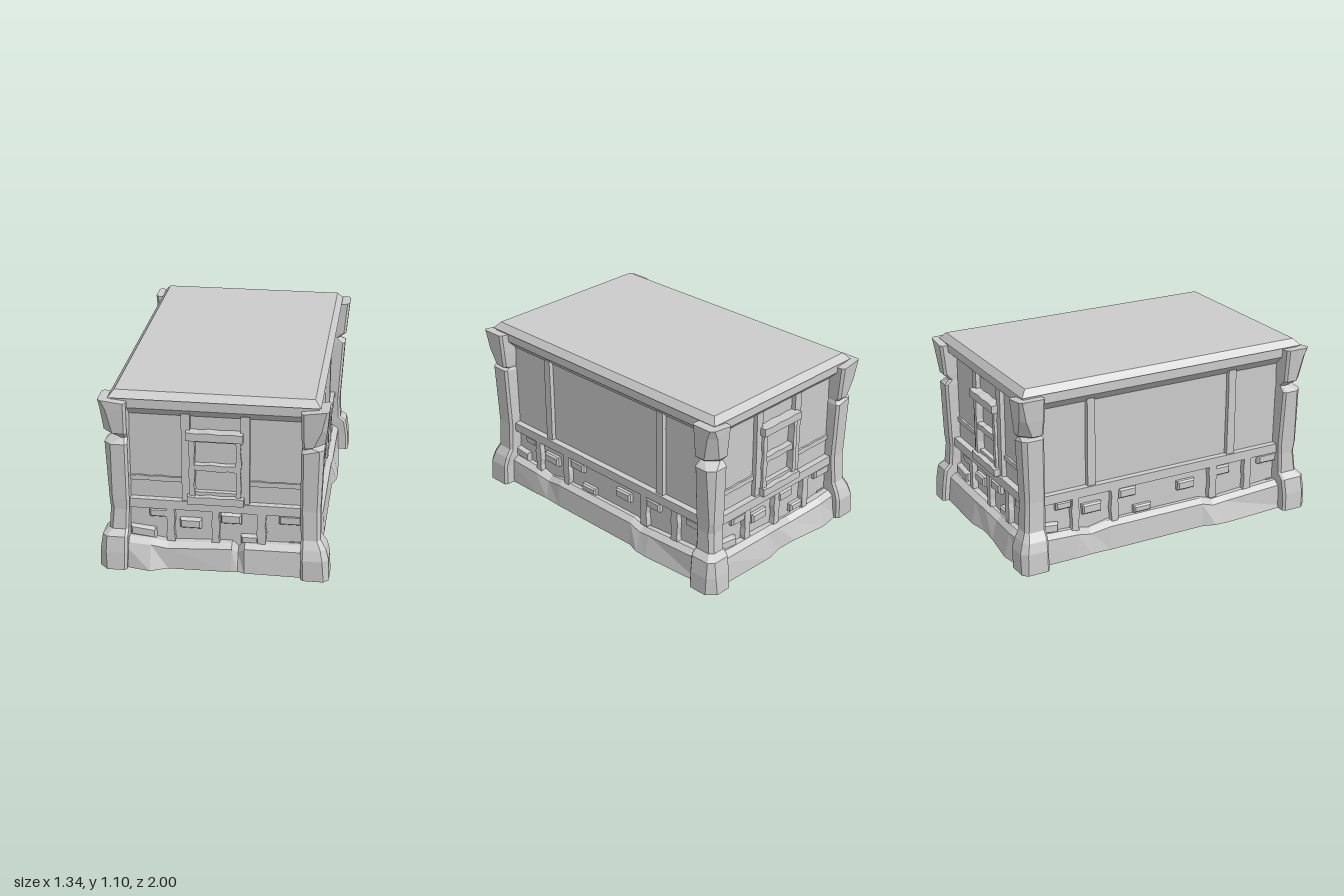
import * as THREE from 'three';

const material = new THREE.MeshStandardMaterial({ color: 0xcccccc, flatShading: true });

// Closed skin through rings of [x, y, z]; rings run counter-clockwise seen from the end of the stack
function loft(rings) {
  const p = [];
  const tri = (a, b, c) => p.push(...a, ...b, ...c);
  const n = rings[0].length;
  for (let k = 0; k < rings.length - 1; k++) {
    for (let i = 0; i < n; i++) {
      const j = (i + 1) % n, a = rings[k], b = rings[k + 1];
      tri(a[i], a[j], b[j]);
      tri(a[i], b[j], b[i]);
    }
  }
  const first = rings[0], last = rings[rings.length - 1];
  for (let i = 1; i < n - 1; i++) {
    tri(first[0], first[i + 1], first[i]);
    tri(last[0], last[i], last[i + 1]);
  }
  const g = new THREE.BufferGeometry();
  g.setAttribute('position', new THREE.Float32BufferAttribute(p, 3));
  g.computeVertexNormals();
  return g;
}

function add(parent, name, geometry, x = 0, y = 0, z = 0) {
  const mesh = new THREE.Mesh(geometry, material);
  mesh.name = name;
  mesh.position.set(x, y, z);
  parent.add(mesh);
  return mesh;
}

// Box given by its limits, standing out from the wall plane
function slab(parent, name, x0, x1, y0, y1, z0, z1) {
  return add(parent, name, new THREE.BoxGeometry(x1 - x0, y1 - y0, z1 - z0),
    (x0 + x1) / 2, (y0 + y1) / 2, (z0 + z1) / 2);
}

// Hand-hewn timber: a box whose edges wander a little along its length
function timber(parent, name, x0, x1, y0, y1, z0, z1, wobble = 0.004) {
  const w = x1 - x0, h = y1 - y0, upright = h > w;
  const g = new THREE.BoxGeometry(w, h, z1 - z0, upright ? 1 : 5, upright ? 5 : 1, 1);
  const p = g.attributes.position;
  for (let i = 0; i < p.count; i++) {
    const x = p.getX(i), y = p.getY(i);
    if (upright) p.setX(i, x + wobble * Math.sin(y * 47 + Math.sign(x) * 2 + x0 * 31));
    else p.setY(i, y + wobble * Math.sin(x * 47 + Math.sign(y) * 2 + y0 * 31));
  }
  g.computeVertexNormals();
  return add(parent, name, g, (x0 + x1) / 2, (y0 + y1) / 2, (z0 + z1) / 2);
}

// Bevelled stone set in the lower wall
function brick(parent, x, y, w, h, tilt, wall) {
  const ring = (inset, z) => [[-1, -1], [1, -1], [1, 1], [-1, 1]]
    .map(([sx, sy]) => [sx * (w / 2 - inset), sy * (h / 2 - inset) + sx * tilt, z]);
  add(parent, 'brick', loft([ring(0, -0.01), ring(0, 0.02), ring(0.009, 0.032)]), x, y, wall);
}

// Rough stone footing; stations are [along, outer at foot, outer at top, height]
function footing(parent, stations, wall) {
  add(parent, 'footing', loft(stations.map(([u, foot, top, h]) => [
    [u, 0, foot], [u, 0, wall - 0.1], [u, h + 0.012, wall - 0.1],
    [u, h + 0.012, top - 0.035], [u, h - 0.015, top],
  ])));
}

// Parts shared by every wall: rail, lower posts, upper posts and bricks
function wallSide(name, angle, wall, half, spec, stations) {
  const side = new THREE.Group();
  side.name = name;
  side.rotation.y = angle;
  slab(side, 'rail', -half, half, 0.368, 0.425, wall - 0.02, wall + 0.04);
  for (const [a, b] of spec.lowerPosts) timber(side, 'lowerPost', a, b, 0.16, 0.375, wall - 0.02, wall + 0.035);
  for (const [a, b] of spec.upperPosts) timber(side, 'upperPost', a, b, 0.42, 0.967, wall - 0.02, wall + 0.028, 0.001);
  for (const [x, y, w, h, t = 0] of spec.bricks) brick(side, x, y, w, h, t, wall);
  footing(side, stations, wall);
  return side;
}

// Framed opening with two panes, and a plank seam on either side
function addWindow(side, wall) {
  const win = new THREE.Group();
  win.name = 'window';
  timber(win, 'lintel', -0.16, 0.165, 0.82, 0.868, wall, wall + 0.065);
  timber(win, 'sill', -0.155, 0.17, 0.422, 0.468, wall, wall + 0.065);
  timber(win, 'jamb', -0.145, -0.113, 0.46, 0.83, wall, wall + 0.045);
  timber(win, 'jamb', 0.124, 0.152, 0.46, 0.83, wall, wall + 0.045);
  timber(win, 'crossbar', -0.12, 0.13, 0.625, 0.662, wall, wall + 0.04);
  slab(win, 'headRail', -0.12, 0.13, 0.8, 0.83, wall, wall + 0.03);
  slab(win, 'bottomRail', -0.12, 0.13, 0.46, 0.488, wall, wall + 0.03);
  side.add(win);
  for (const [a, b] of [[-0.5, -0.185], [0.195, 0.5]])
    timber(side, 'plankSeam', a, b, 0.532, 0.562, wall - 0.01, wall + 0.012, 0.003);
}

// Corner pillar from sections [y, x inner, x outer, z inner, z outer, outer chamfer]
function pillar(parent, sections, mirror) {
  const rings = sections.map(([y, xi, xo, zi, zo, c, lift = 0]) => {
    const s = 0.015;
    const ring = [
      [xo, y + lift, zo - c], [xo, y + lift, zi + s], [xo - s, y + lift, zi], [xi, y, zi],
      [xi, y, zo - s], [xi + s, y, zo], [xo - c, y + lift, zo],
    ];
    return mirror ? ring.map(([x, h, z]) => [-x, h, z]).reverse() : ring;
  });
  add(parent, 'cornerPillar', loft(rings));
}

export function createModel() {
  const model = new THREE.Group();
  model.name = 'building';
  const WX = 0.53, WZ = 0.865;

  slab(model, 'walls', -WX, WX, 0, 1.0, -WZ, WZ);

  // Roof slab with sloping soffit and bevelled top
  const rect = (x, y, z) => [[x, y, z], [x, y, -z], [-x, y, -z], [-x, y, z]];
  add(model, 'roof', loft([rect(WX, 0.945, WZ), rect(0.585, 1.0, 0.922),
    rect(0.585, 1.055, 0.922), rect(0.597, 1.06, 0.935), rect(0.562, 1.1, 0.9)]));

  const endSpec = {
    lowerPosts: [[-0.28, -0.235], [-0.017, 0.027], [0.245, 0.295]],
    upperPosts: [[-0.19, -0.14], [0.147, 0.2]],
    bricks: [[-0.31, 0.335, 0.145, 0.055], [-0.142, 0.275, 0.125, 0.06], [0.093, 0.32, 0.12, 0.062],
      [0.435, 0.336, 0.13, 0.06], [-0.42, 0.205, 0.15, 0.062, -0.008], [0.2, 0.195, 0.1, 0.05]],
  };
  const longSpec = {
    lowerPosts: [[-0.62, -0.575], [-0.36, -0.312], [0.322, 0.372], [0.575, 0.625]],
    upperPosts: [[-0.512, -0.462], [0.448, 0.5]],
    bricks: [[-0.67, 0.338, 0.1, 0.05], [-0.483, 0.278, 0.125, 0.062], [-0.245, 0.325, 0.115, 0.06],
      [-0.142, 0.2, 0.115, 0.045], [0.162, 0.285, 0.12, 0.058], [0.41, 0.325, 0.125, 0.06],
      [0.75, 0.336, 0.13, 0.058], [-0.77, 0.21, 0.13, 0.06, -0.006]],
  };
  const frontFooting = [[-0.54, 0.955, 0.94, 0.17], [-0.37, 0.99, 0.94, 0.16], [-0.27, 0.945, 0.94, 0.145],
    [0.1, 0.94, 0.93, 0.16], [0.135, 0.93, 0.9, 0.125], [0.175, 0.945, 0.93, 0.165], [0.54, 0.95, 0.935, 0.17]];
  const backFooting = [[-0.54, 0.955, 0.94, 0.17], [-0.12, 0.965, 0.935, 0.16], [0, 0.94, 0.925, 0.15],
    [0.135, 0.945, 0.91, 0.13], [0.38, 0.975, 0.94, 0.16], [0.54, 0.95, 0.935, 0.17]];
  const longFooting = [[-0.87, 0.6, 0.595, 0.175], [-0.6, 0.6, 0.59, 0.16], [-0.5, 0.595, 0.575, 0.135],
    [-0.38, 0.6, 0.59, 0.16], [0.26, 0.6, 0.59, 0.16], [0.34, 0.625, 0.59, 0.135],
    [0.42, 0.63, 0.595, 0.145], [0.87, 0.605, 0.6, 0.17]];

  const front = wallSide('frontWall', 0, WZ, 0.54, endSpec, frontFooting);
  const back = wallSide('backWall', Math.PI, WZ, 0.54, endSpec, backFooting);
  addWindow(front, WZ);
  addWindow(back, WZ);
  model.add(front, back,
    wallSide('leftWall', Math.PI / 2, WX, 0.87, longSpec, longFooting),
    wallSide('rightWall', -Math.PI / 2, WX, 0.87, longSpec, longFooting));

  // Two chipped pillar shapes, repeated on opposite corners
  const plainPillar = [
    [0, 0.505, 0.668, 0.815, 0.985, 0.03], [0.13, 0.5, 0.663, 0.815, 0.985, 0.035],
    [0.19, 0.5, 0.645, 0.81, 0.965, 0.03], [0.24, 0.5, 0.613, 0.81, 0.94, 0.02],
    [0.42, 0.492, 0.608, 0.805, 0.93, 0.02], [0.785, 0.492, 0.62, 0.81, 0.945, 0.025, 0.02],
    [0.805, 0.5, 0.595, 0.82, 0.93, 0.05, 0.01], [0.83, 0.495, 0.622, 0.815, 0.95, 0.06],
    [0.93, 0.492, 0.635, 0.81, 0.96, 0.03], [1.035, 0.49, 0.645, 0.81, 0.97, 0.015, 0.018],
  ];
  const chippedPillar = [
    [0, 0.505, 0.67, 0.815, 0.998, 0.05], [0.11, 0.5, 0.665, 0.815, 0.99, 0.04],
    [0.205, 0.5, 0.65, 0.81, 0.975, 0.03], [0.24, 0.5, 0.612, 0.81, 0.94, 0.02],
    [0.365, 0.495, 0.605, 0.81, 0.93, 0.025], [0.43, 0.492, 0.608, 0.805, 0.935, 0.02],
    [0.78, 0.492, 0.627, 0.81, 0.945, 0.04], [0.812, 0.495, 0.585, 0.815, 0.915, 0.06],
    [0.85, 0.492, 0.632, 0.81, 0.95, 0.06], [1.0, 0.49, 0.645, 0.81, 0.965, 0.04],
    [1.04, 0.49, 0.65, 0.81, 0.968, 0.02, 0.015],
  ];
  for (const angle of [0, Math.PI]) {
    const pair = new THREE.Group();
    pair.name = 'pillarPair';
    pair.rotation.y = angle;
    pillar(pair, plainPillar, false);
    pillar(pair, chippedPillar, true);
    model.add(pair);
  }
  return model;
}
